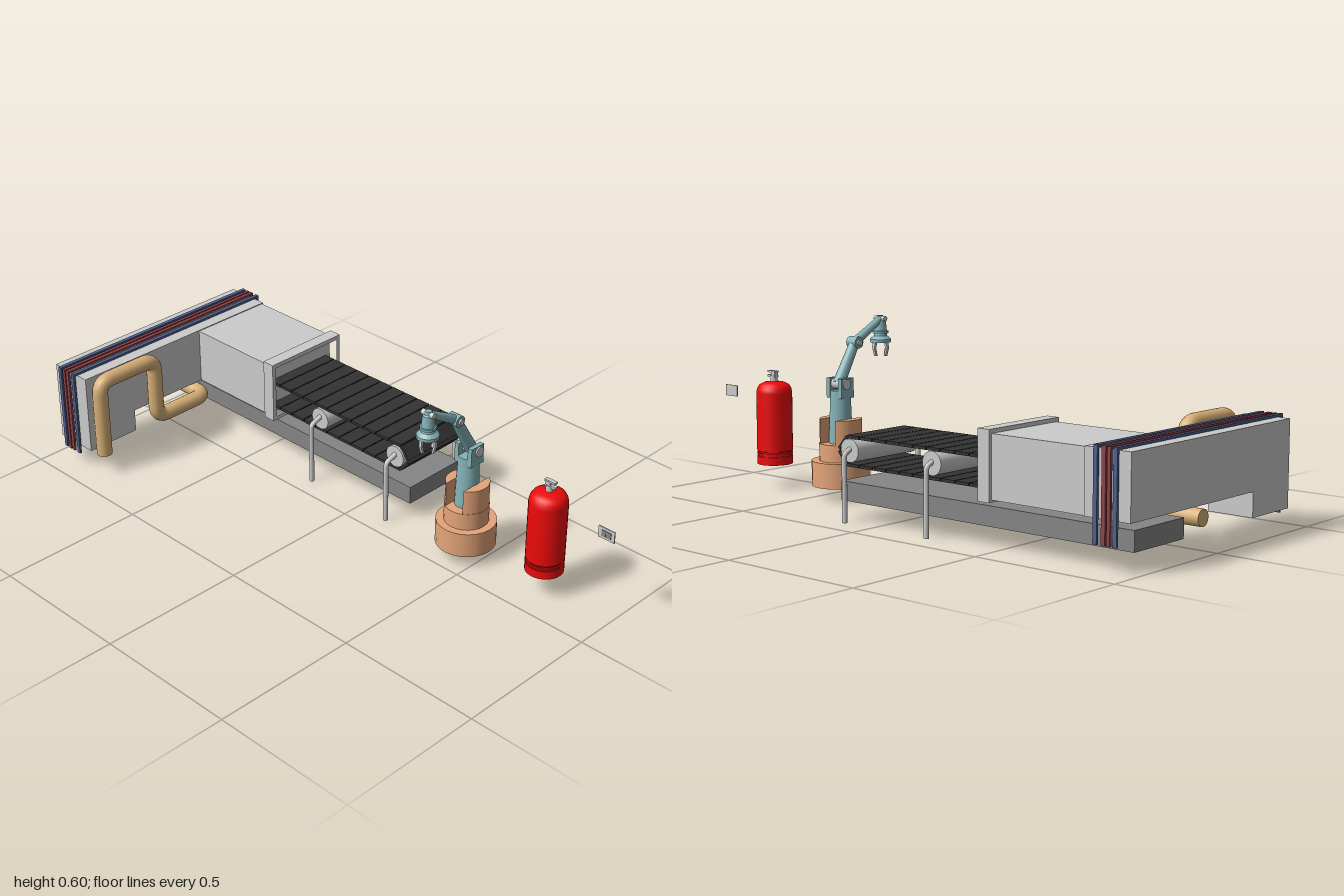
import * as THREE from 'three';

const mat = (color, side = THREE.FrontSide, flatShading = false) =>
  new THREE.MeshStandardMaterial({ color, side, flatShading });
const GREY = mat(0xcccccc), SLAB = mat(0x858585), BELT = mat(0x333333), BLUE = mat(0x4d608c),
  MAROON = mat(0x8c4248), PIPE = mat(0xd8b078), TAN = mat(0xe5a57a), TEAL = mat(0x86b3b8), RED = mat(0xee0a0a);
const V = (x, y, z) => new THREE.Vector3(x, y, z);

function add(parent, name, geo, material, x = 0, y = 0, z = 0) {
  const m = new THREE.Mesh(geo, material);
  m.name = name;
  m.position.set(x, y, z);
  parent.add(m);
  return m;
}

// box given by its limits
function block(parent, name, material, x0, x1, y0, y1, z0, z1) {
  return add(parent, name, new THREE.BoxGeometry(x1 - x0, y1 - y0, z1 - z0), material,
    (x0 + x1) / 2, (y0 + y1) / 2, (z0 + z1) / 2);
}

// cylinder between two points
function rod(parent, name, material, a, b, r0, r1 = r0, seg = 16) {
  const m = add(parent, name, new THREE.CylinderGeometry(r1, r0, a.distanceTo(b), seg), material);
  m.position.copy(a).add(b).multiplyScalar(0.5);
  m.quaternion.setFromUnitVectors(V(0, 1, 0), b.clone().sub(a).normalize());
  return m;
}

// pipe through corner points with rounded bends and closed ends
function pipe(parent, name, material, pts, r, bend, seg) {
  const path = new THREE.CurvePath();
  let from = pts[0];
  for (let i = 1; i < pts.length - 1; i++) {
    const toward = (p) => pts[i].clone().add(p.clone().sub(pts[i]).setLength(bend));
    const a = toward(pts[i - 1]), b = toward(pts[i + 1]);
    path.add(new THREE.LineCurve3(from, a));
    path.add(new THREE.QuadraticBezierCurve3(a, pts[i], b));
    from = b;
  }
  path.add(new THREE.LineCurve3(from, pts.at(-1)));
  add(parent, name, new THREE.TubeGeometry(path, seg, r, 16), material);
  for (const [p, q] of [[pts[0], pts[1]], [pts.at(-1), pts.at(-2)]]) {
    rod(parent, name + 'End', material, p, p.clone().add(q.clone().sub(p).setLength(0.005)), r);
  }
}

// outline in (z, y), extruded along x
function extrudeX(parent, name, material, outline, x0, x1, hole) {
  const toShape = (pts) => pts.map(([z, y]) => new THREE.Vector2(-z, y));
  const shape = new THREE.Shape(toShape(outline));
  if (hole) shape.holes.push(new THREE.Path(toShape(hole)));
  const geo = new THREE.ExtrudeGeometry(shape, { depth: x1 - x0, bevelEnabled: false });
  geo.rotateY(Math.PI / 2);
  return add(parent, name, geo, material, x0, 0, 0);
}

function buildHousing() {
  const g = new THREE.Group();
  g.name = 'machineHousing';
  extrudeX(g, 'crossHousing', GREY,
    [[0.41, 0.07], [0.21, 0.07], [0.21, 0.15], [-0.41, 0.15], [-0.41, 0.35], [0.41, 0.35]], -0.985, -0.825);
  block(g, 'tunnelHousing', GREY, -0.83, -0.475, 0.15, 0.347, -0.405, -0.1);
  extrudeX(g, 'tunnelCollar', GREY,
    [[-0.415, 0.142], [-0.09, 0.142], [-0.09, 0.36], [-0.415, 0.36]], -0.48, -0.435,
    [[-0.4, 0.155], [-0.105, 0.155], [-0.105, 0.345], [-0.4, 0.345]]);
  // strips folded over the cross housing
  for (const [x, w, m] of [[-0.942, 0.014, BLUE], [-0.92, 0.012, MAROON], [-0.902, 0.014, MAROON], [-0.873, 0.014, BLUE]]) {
    extrudeX(g, 'housingStrip', m,
      [[0.428, 0.05], [0.428, 0.36], [-0.425, 0.36], [-0.425, 0.078], [-0.417, 0.078], [-0.417, 0.352],
        [0.42, 0.352], [0.42, 0.05]], x - w / 2, x + w / 2);
  }
  pipe(g, 'ductPipe', PIPE, [V(-0.782, 0.07, 0.385), V(-0.782, 0.345, 0.385), V(-0.782, 0.345, 0.147),
    V(-0.782, 0.117, 0.147), V(-0.782, 0.117, -0.077), V(-1, 0.117, -0.077)], 0.027, 0.045, 120);
  return g;
}

function buildConveyor() {
  const g = new THREE.Group();
  g.name = 'conveyor';
  block(g, 'baseSlab', SLAB, -0.97, 0.175, 0.06, 0.123, -0.37, -0.13);
  // belt slats: straight runs above and below, two slanted slats at the end
  const pitch = 0.057, width = 0.264, zc = -0.252;
  const slat = (x, y, angle) => {
    const s = add(g, 'beltSlat', new THREE.BoxGeometry(0.053, 0.01, width), BELT, x, y, zc);
    s.rotation.z = angle;
  };
  for (let i = 0; i < 11; i++) {
    slat(0.11 - i * pitch, 0.27, 0);
    slat(0.11 - i * pitch, 0.18, 0);
  }
  slat(0.154, 0.249, -0.86);
  slat(0.154, 0.201, 0.86);
  // rollers with bent legs
  for (const x of [-0.228, 0.12]) {
    rod(g, 'roller', GREY, V(x, 0.227, -0.387), V(x, 0.227, -0.112), 0.038, 0.038, 24);
    for (const [zOut, zIn] of [[-0.411, -0.377], [-0.071, -0.115]]) {
      pipe(g, 'rollerLeg', GREY, [V(x, 0, zOut), V(x, 0.22, zOut), V(x, 0.235, zIn)], 0.0085, 0.012, 24);
    }
  }
  return g;
}

function buildRobot() {
  const g = new THREE.Group();
  g.name = 'robotArm';
  g.position.set(0.43, 0, -0.118);
  add(g, 'footDrum', new THREE.CylinderGeometry(0.099, 0.099, 0.085, 24), TAN, 0, 0.086, 0);
  add(g, 'turntable', new THREE.CylinderGeometry(0.073, 0.073, 0.06, 24), TAN, 0, 0.157, 0);
  // side cheeks cut from a round outline
  for (const s of [0, Math.PI]) {
    const shape = new THREE.Shape();
    shape.absarc(0, 0, 0.071, -1.05, 1.05, false);
    const geo = new THREE.ExtrudeGeometry(shape, { depth: 0.085, bevelEnabled: false, curveSegments: 10 });
    geo.rotateX(-Math.PI / 2);
    add(g, 'turntableCheek', geo, TAN, 0, 0.185, 0).rotation.y = s;
  }
  rod(g, 'shoulderPin', TAN, V(-0.055, 0.235, 0), V(0.055, 0.235, 0), 0.02);
  // column and its clevis
  rod(g, 'column', TEAL, V(0, 0.185, 0), V(0, 0.365, 0), 0.041, 0.034, 20);
  for (const s of [-1, 1]) block(g, 'columnFork', TEAL, s * 0.027 - 0.008, s * 0.027 + 0.008, 0.34, 0.407, -0.03, 0.028);
  const shoulder = V(0, 0.387, -0.008), elbow = V(0, 0.52, 0.07), wrist = V(0, 0.592, 0.195);
  rod(g, 'upperArm', TEAL, shoulder, elbow, 0.021, 0.017);
  rod(g, 'foreArm', TEAL, elbow, wrist, 0.016, 0.012);
  const joint = (name, p, r, w, m) => rod(g, name, m, p.clone().setX(-w), p.clone().setX(w), r);
  joint('shoulderJoint', shoulder, 0.018, 0.04, GREY);
  joint('elbowJoint', elbow, 0.02, 0.021, TEAL);
  joint('elbowPin', elbow, 0.01, 0.027, GREY);
  joint('wristPin', wrist, 0.009, 0.024, GREY);
  // gripper body
  const profile = [[0, 0.602], [0.011, 0.602], [0.013, 0.592], [0.018, 0.588], [0.022, 0.55], [0.027, 0.55], [0.027, 0.542],
    [0.021, 0.542], [0.023, 0.533], [0.036, 0.522], [0.036, 0.511], [0, 0.511]];
  const pts = profile.map(([r, y]) => new THREE.Vector2(r, y)).reverse();
  add(g, 'gripperBody', new THREE.LatheGeometry(pts, 20), mat(0x86b3b8, THREE.DoubleSide, true), 0, 0, wrist.z);
  // four hooked fingers
  for (let i = 0; i < 4; i++) {
    const finger = new THREE.Group();
    finger.name = 'gripperFinger';
    finger.position.z = wrist.z;
    finger.rotation.y = i * Math.PI / 2;
    extrudeX(finger, 'fingerBlade', GREY, [[0.02, 0.515], [0.032, 0.515], [0.035, 0.492], [0.027, 0.465],
      [0.02, 0.465], [0.027, 0.492]], -0.005, 0.005);
    g.add(finger);
  }
  return g;
}

function buildExtinguisher() {
  const g = new THREE.Group();
  g.name = 'fireExtinguisher';
  g.position.set(0.745, 0, -0.128);
  const cyl = (name, r, y0, y1, m = RED) => add(g, name, new THREE.CylinderGeometry(r, r, y1 - y0, 28), m, 0, (y0 + y1) / 2, 0);
  cyl('footRing', 0.062, 0.082, 0.11);
  cyl('lowerGroove', 0.058, 0.11, 0.116);
  cyl('middleRing', 0.062, 0.116, 0.122);
  cyl('upperGroove', 0.058, 0.122, 0.128);
  const tank = [[0, 0.128], [0.062, 0.128], [0.062, 0.13], [0.062, 0.33], [0.059, 0.345], [0.051, 0.358], [0.035, 0.366], [0, 0.37]];
  add(g, 'tank', new THREE.LatheGeometry(tank.map(([r, y]) => new THREE.Vector2(r, y)), 28), RED);
  cyl('neck', 0.012, 0.365, 0.39, GREY);
  // valve levers
  block(g, 'carryHandle', GREY, -0.014, 0.026, 0.383, 0.391, -0.007, 0.007);
  block(g, 'squeezeLever', GREY, -0.016, 0.024, 0.399, 0.406, -0.007, 0.007);
  block(g, 'valveBlock', GREY, -0.012, 0.006, 0.386, 0.402, -0.008, 0.008);
  return g;
}

function buildWallPlate() {
  const g = new THREE.Group();
  g.name = 'wallPlate';
  block(g, 'plate', GREY, 0.94, 1, 0.297, 0.336, -0.126, -0.122);
  for (const x of [0.953, 0.972]) block(g, 'plateInset', SLAB, x, x + 0.016, 0.306, 0.327, -0.123, -0.12);
  return g;
}

export function createModel() {
  const model = new THREE.Group();
  model.name = 'factoryLine';
  model.add(buildHousing(), buildConveyor(), buildRobot(), buildExtinguisher(), buildWallPlate());
  return model;
}
